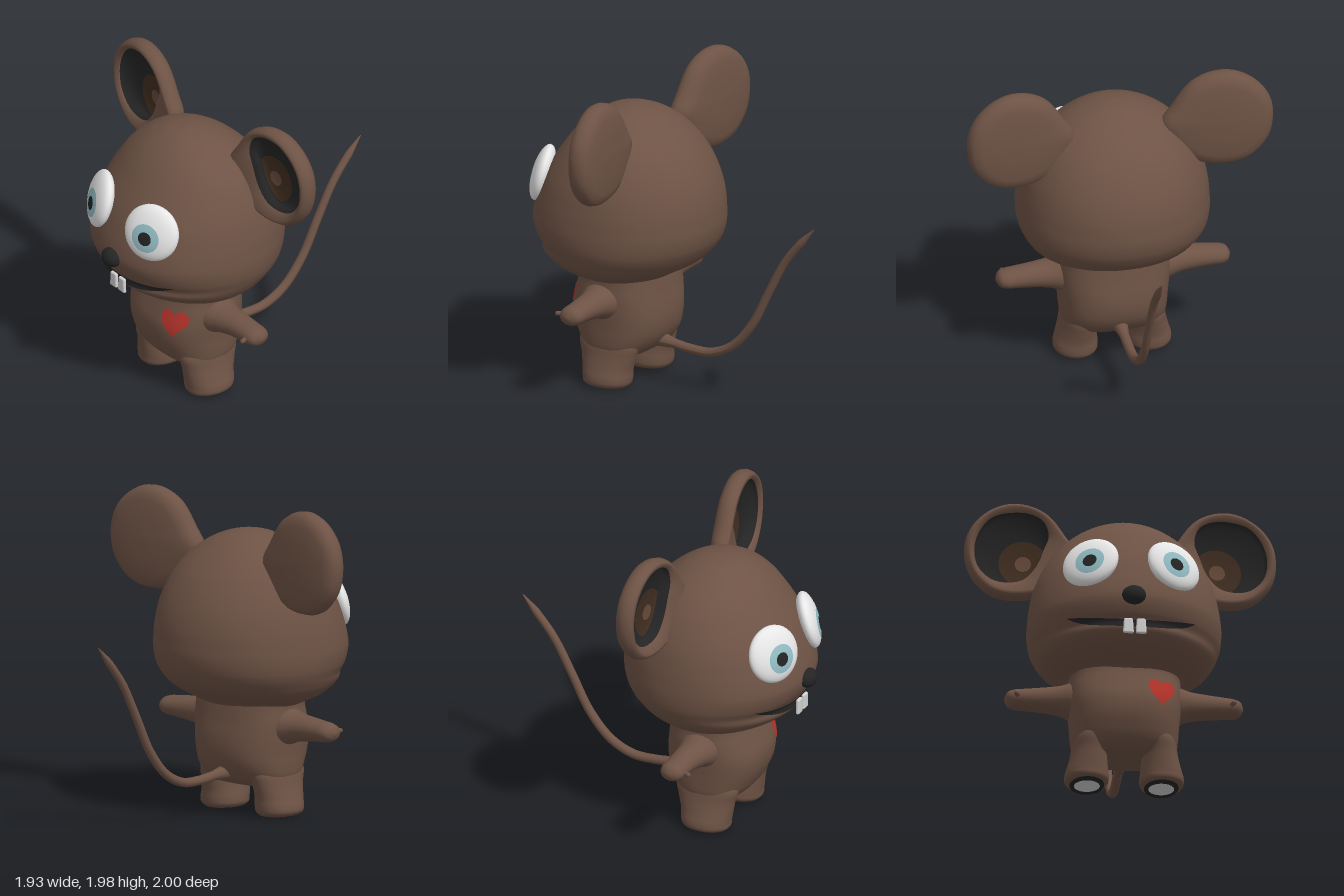
import * as THREE from 'three';
import { RoundedBoxGeometry } from 'three/addons/geometries/RoundedBoxGeometry.js';

const paint = (name, color) => Object.assign(new THREE.MeshStandardMaterial({ color }), { name });
const fur = paint('brown fur', 0x6e5345);
const black = paint('black', 0x242424);
const earBrown = paint('dark inner ear', 0x402d20);
const earSpot = paint('inner ear spot', 0x66493a);
const white = paint('eye white', 0xe8e8e8);
const teal = paint('iris teal', 0x94bec6);
const ivory = paint('tooth and sole', 0xd2d2d2);
const red = paint('heart red', 0xb6342b);

// Skins a list of closed rings; bands gives a material index per step
function loft(rings, bands) {
  const n = rings[0].length, index = [];
  const g = new THREE.BufferGeometry().setFromPoints(rings.flat());
  for (let i = 0; i < rings.length - 1; i++) {
    const start = index.length;
    for (let j = 0; j < n; j++) {
      const k = (j + 1) % n, a = i * n + j, b = i * n + k;
      index.push(a, a + n, b, b, a + n, b + n);
    }
    if (bands) g.addGroup(start, n * 6, bands[i]);
  }
  g.setIndex(index);
  g.computeVertexNormals();
  return g;
}

// Smooth interpolation of rows keyed on their first number
function spline(rows) {
  const size = rows[0].length - 1;
  const it = new THREE.CubicInterpolant(rows.map(r => r[0]), rows.flatMap(r => r.slice(1)), size, new Float32Array(size));
  return k => Array.from(it.evaluate(k));
}

const power = (v, p) => Math.sign(v) * Math.abs(v) ** p;

// Loft along an axis; place(k, values, cos, sin) puts each ring point
function sweep(rows, n, place, steps = 4, segs = 48) {
  const at = spline(rows), keys = [];
  rows.slice(0, -1).forEach((r, i) => {
    for (let s = 0; s < steps; s++) keys.push(r[0] + (rows[i + 1][0] - r[0]) * s / steps);
  });
  keys.push(rows.at(-1)[0]);
  const rings = keys.map(k => Array.from({ length: segs }, (_, j) => {
    const t = j / segs * Math.PI * 2;
    return place(k, at(k), power(Math.cos(t), 2 / n), power(Math.sin(t), 2 / n));
  }));
  const cap = ring => {
    const c = ring.reduce((s, p) => s.add(p), new THREE.Vector3()).divideScalar(segs);
    return ring.map(() => c.clone());
  };
  return loft([cap(rings[0]), ...rings, cap(rings.at(-1))]);
}

// Rows: y, centre x, half width, back z, front z
const upright = (y, [cx, w, zb, zf], c, s) =>
  new THREE.Vector3(cx + w * c, y, (zb + zf) / 2 + (zf - zb) / 2 * s);

// Front surface depth of an upright loft
function frontOf(rows, n) {
  const at = spline(rows);
  return (x, y) => {
    const [cx, w, zb, zf] = at(y);
    return (zb + zf) / 2 + (zf - zb) / 2 * Math.max(0, 1 - Math.abs((x - cx) / w) ** n) ** (1 / n);
  };
}

function mirrored(geo) {
  const g = geo.clone().scale(-1, 1, 1), a = g.index.array;
  for (let i = 0; i < a.length; i += 3) [a[i], a[i + 1]] = [a[i + 1], a[i]];
  return g;
}

function moveVertices(g, rule) {
  const p = g.attributes.position, v = new THREE.Vector3();
  for (let i = 0; i < p.count; i++) {
    rule(v.fromBufferAttribute(p, i), i);
    p.setXYZ(i, v.x, v.y, v.z);
  }
  g.computeVertexNormals();
  return g;
}

const HEAD = [
  [0.67, 0, 0.3, 0.12, 0.58], [0.705, 0, 0.355, 0.07, 0.635], [0.75, 0, 0.45, -0.01, 0.74],
  [0.8, 0, 0.515, -0.1, 0.825], [0.85, 0, 0.55, -0.157, 0.878], [0.895, 0, 0.572, -0.19, 0.878], [0.945, 0, 0.59, -0.217, 0.912],
  [1.03, 0, 0.6, -0.237, 0.943], [1.1, 0, 0.597, -0.237, 0.938], [1.2, 0, 0.585, -0.228, 0.91],
  [1.34, 0, 0.552, -0.188, 0.852], [1.5, 0, 0.475, -0.1, 0.748], [1.6, 0, 0.395, -0.012, 0.672],
  [1.68, 0, 0.293, 0.085, 0.59], [1.73, 0, 0.193, 0.172, 0.513], [1.757, 0, 0.1, 0.255, 0.44], [1.768, 0, 0.02, 0.33, 0.365]];
const BODY = [
  [0.19, 0, 0.27, 0.21, 0.52], [0.21, 0, 0.3, 0.175, 0.55], [0.25, 0, 0.322, 0.13, 0.59],
  [0.32, 0, 0.332, 0.083, 0.63], [0.4, 0, 0.337, 0.06, 0.66], [0.5, 0, 0.347, 0.057, 0.668],
  [0.6, 0, 0.352, 0.068, 0.645], [0.68, 0, 0.347, 0.075, 0.625], [0.74, 0, 0.35, 0.08, 0.62]];
const LEG = [
  [0.008, 0.23, 0.105, 0.235, 0.505], [0.025, 0.232, 0.13, 0.215, 0.52], [0.06, 0.232, 0.137, 0.205, 0.525],
  [0.12, 0.227, 0.126, 0.2, 0.535], [0.2, 0.22, 0.113, 0.178, 0.55], [0.28, 0.213, 0.107, 0.16, 0.57], [0.36, 0.2, 0.09, 0.19, 0.54]];
// Rows: x, centre y, half height, centre z, half depth
const ARM = [
  [0.27, 0.57, 0.13, 0.36, 0.145], [0.34, 0.57, 0.112, 0.36, 0.125], [0.4, 0.573, 0.092, 0.357, 0.105],
  [0.5, 0.577, 0.078, 0.35, 0.087], [0.62, 0.577, 0.066, 0.345, 0.08], [0.69, 0.576, 0.057, 0.343, 0.075],
  [0.722, 0.576, 0.04, 0.343, 0.052], [0.737, 0.576, 0.012, 0.343, 0.015]];

const EAR_EDGE = [[0.27, 1.62], [0.34, 1.75], [0.45, 1.9], [0.57, 1.965], [0.7, 1.975], [0.83, 1.92],
  [0.93, 1.81], [0.965, 1.67], [0.93, 1.5], [0.8, 1.365], [0.6, 1.335], [0.42, 1.4]];
const EAR_BOWL = [[0.48, 1.66], [0.45, 1.75], [0.48, 1.85], [0.56, 1.9], [0.67, 1.91], [0.79, 1.88],
  [0.87, 1.79], [0.905, 1.67], [0.88, 1.54], [0.78, 1.45], [0.62, 1.45], [0.53, 1.54]];

function earGeometry() {
  const segs = 64;
  const outline = pts => {
    const c = new THREE.CatmullRomCurve3(pts.map(p => new THREE.Vector3(...p, 0)), true);
    return Array.from({ length: segs }, (_, i) => c.getPoint(i / segs));
  };
  const edge = outline(EAR_EDGE), bowl = outline(EAR_BOWL);
  const mid = new THREE.Vector3(0.66, 1.66, 0), spot = new THREE.Vector3(0.6, 1.595, 0);
  const lift = (p, dz) => p.setZ(0.2 - 0.095 * (p.x - 0.3) + dz);
  const shell = (s, dz) => edge.map(p => lift(mid.clone().lerp(p, s), dz));
  const cup = (s, dz) => bowl.map(p => lift(spot.clone().lerp(p, s), dz));
  const disc = (r, dz) => bowl.map(p => {
    const d = p.clone().sub(spot), len = d.length();
    return lift(d.multiplyScalar(Math.min(r, len * 0.93) / len).add(spot), dz);
  });
  const rings = [shell(0.001, -0.09), shell(0.4, -0.088), shell(0.75, -0.078), shell(0.9, -0.06), shell(0.97, -0.034),
    shell(1, 0), shell(0.985, 0.03), shell(0.94, 0.054), shell(0.88, 0.06), cup(1, 0.035),
    cup(0.95, -0.015), disc(0.15, -0.035), disc(0.05, -0.04), disc(0.001, -0.041)];
  return loft(rings, rings.slice(1).map((_, i) => i < 9 ? 0 : i < 11 ? 1 : i < 12 ? 2 : 3));
}

export function createModel() {
  const model = new THREE.Group();
  model.name = 'mouse';
  const add = (name, geo, mat) => {
    const m = new THREE.Mesh(geo, mat);
    m.name = name;
    model.add(m);
    return m;
  };
  const addPair = (name, geo, mat) => {
    add('left' + name, geo, mat);
    add('right' + name, mirrored(geo), mat);
  };

  // Head, body and limbs
  add('head', sweep(HEAD, 2.05, upright), fur);
  add('body', sweep(BODY, 2.5, upright), fur);
  addPair('Leg', sweep(LEG, 2.1, upright), fur);
  addPair('Arm', sweep(ARM, 2, (x, [cy, h, cz, d], c, s) => new THREE.Vector3(x, cy + h * s, cz + d * c), 4, 32), fur);
  addPair('Thumb', new THREE.CapsuleGeometry(0.015, 0.065, 6, 12).rotateX(Math.PI / 2).rotateY(0.35).translate(0.663, 0.575, 0.418), fur);
  addPair('Ear', earGeometry(), [fur, black, earBrown, earSpot]);

  // Soles
  const sole = (rx, rz, y) => new THREE.CircleGeometry(1, 24).rotateX(Math.PI / 2).scale(rx, 1, rz).translate(0.23, y, 0.37);
  addPair('SoleRim', sole(0.107, 0.137, 0.005), black);
  addPair('Sole', sole(0.08, 0.085, 0), ivory);

  // Eyes: flattened balls cut into white, iris and pupil bands, gazing slightly down
  const up = new THREE.Vector3(0, 1, 0);
  const eyeTurn = new THREE.Quaternion().setFromUnitVectors(up, new THREE.Vector3(0.43, 0.27, 0.86).normalize());
  const gaze = new THREE.Vector3(-0.012, -0.034, 0.02).applyQuaternion(eyeTurn.clone().invert()).divideScalar(0.181).setY(1).normalize();
  const gazeTurn = new THREE.Quaternion().setFromUnitVectors(up, gaze);
  const eyeBand = (from, to) => new THREE.SphereGeometry(1, 40, 12, 0, Math.PI * 2, from, to - from)
    .applyQuaternion(gazeTurn).scale(0.181, 0.066, 0.181).applyQuaternion(eyeTurn).translate(0.256, 1.3, 0.828);
  addPair('Pupil', eyeBand(0, 0.25), black);
  addPair('Iris', eyeBand(0.25, 0.54), teal);
  addPair('EyeWhite', eyeBand(0.54, Math.PI), white);

  // Nose, mouth and front teeth
  add('nose', new THREE.SphereGeometry(1, 28, 20).scale(0.074, 0.06, 0.057).translate(0, 1.043, 0.943), black);
  const headFront = frontOf(HEAD, 2.05), bodyFront = frontOf(BODY, 2.5);
  add('mouth', moveVertices(new THREE.PlaneGeometry(2, 1, 48, 4), v => {
    const u = v.x, t = 0.5 - v.y;
    v.x = 0.4 * u;
    v.y = 0.903 + 0.037 * u * u - t * 0.047 * (1 - u ** 4);
    v.z = headFront(v.x, v.y) + 0.005;
  }), black);
  const tooth = moveVertices(new RoundedBoxGeometry(0.062, 0.1, 0.024, 4, 0.011), v => {
    v.x *= 1 - 2 * v.y;
  });
  [-0.03, 0.049].forEach((x, i) => add(i ? 'leftTooth' : 'rightTooth', tooth, ivory).position.set(x, 0.853, 0.899));

  // Heart patch on the chest
  add('heart', moveVertices(new THREE.RingGeometry(0.001, 1, 48, 6), v => {
    const r = Math.hypot(v.x, v.y), a = Math.PI / 2 - Math.atan2(v.y, v.x);
    v.x = 0.206 + r * 0.0053 * 16 * Math.sin(a) ** 3;
    v.y = 0.55 + r * 0.0066 * (13 * Math.cos(a) - 5 * Math.cos(2 * a) - 2 * Math.cos(3 * a) - Math.cos(4 * a));
    v.z = bodyFront(v.x, v.y) + 0.005;
  }), red);

  // Tail: tube flared at its root and tapered towards its tip
  const path = new THREE.CatmullRomCurve3([[0.28, 0.19], [0.267, 0.06], [0.25, -0.1], [0.257, -0.25], [0.33, -0.4], [0.49, -0.54],
    [0.72, -0.66], [0.94, -0.78], [1.09, -0.9], [1.195, -0.995]].map(([y, z]) => new THREE.Vector3(0, y, z)));
  const steps = 60, sides = 14;
  add('tail', moveVertices(new THREE.TubeGeometry(path, steps, 0.03, sides), (v, i) => {
    const t = Math.floor(i / (sides + 1)) / steps;
    const k = t < 0.1 ? 1.9 - 9 * t : Math.min(1.03 - 0.25 * t, 9 * (1.01 - t));
    v.lerp(path.getPointAt(t), 1 - k);
  }), fur);

  return model;
}
